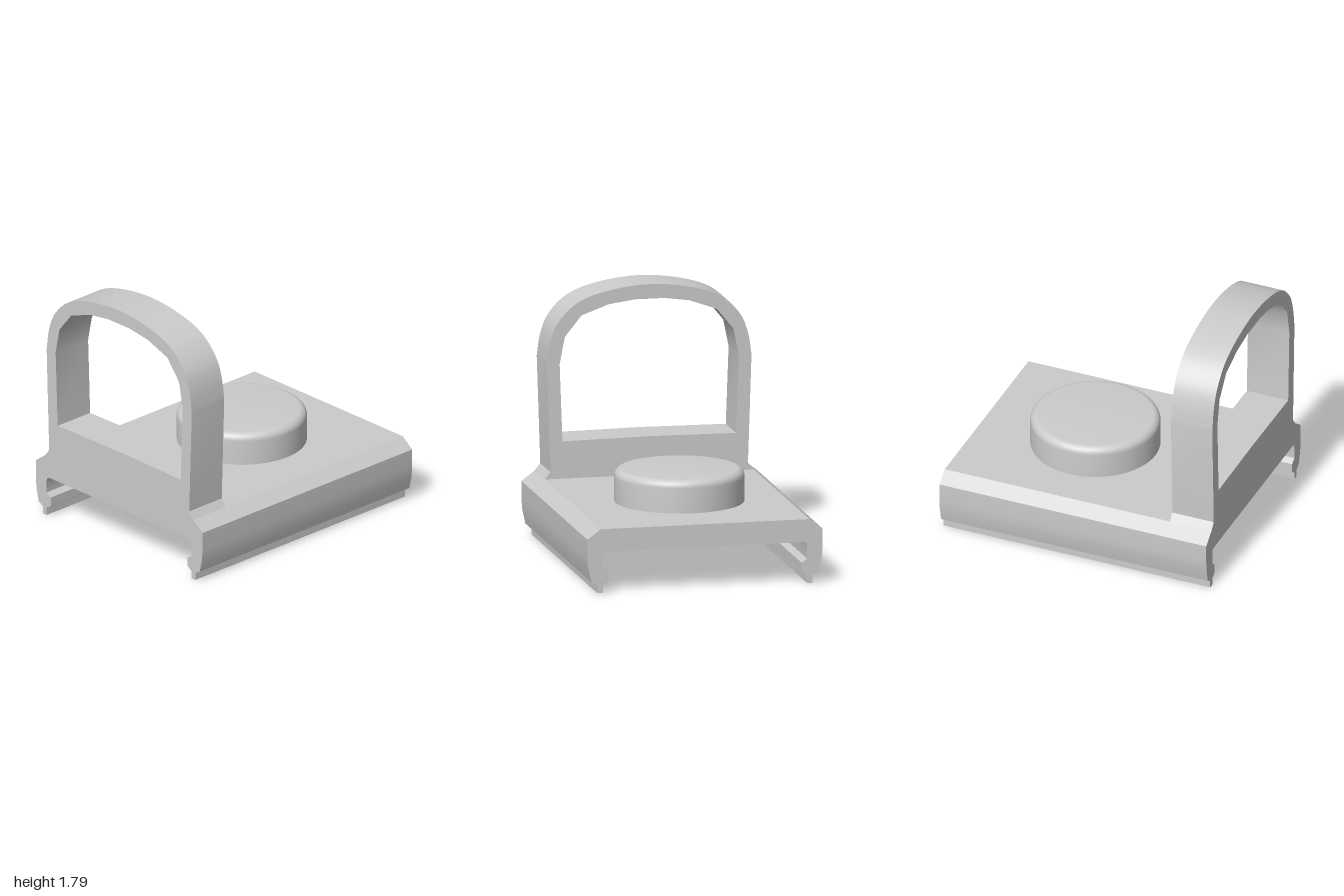
import * as THREE from 'three';
import { toCreasedNormals } from 'three/addons/utils/BufferGeometryUtils.js';

const material = new THREE.MeshStandardMaterial({ color: 0xcccccc });

// Completes a half outline of [z, y] points by mirroring it across z = 0.
function mirrored(half) {
  const other = half.filter(([z]) => z > 0).map(([z, y]) => [-z, y]).reverse();
  return [...half, ...other].map(([z, y]) => new THREE.Vector2(z, y));
}

// Extrudes a z-y section along x, from x0 to x1.
function extrudeAlongX(name, shape, x0, x1) {
  const geometry = new THREE.ExtrudeGeometry(shape, { depth: x1 - x0, bevelEnabled: false });
  geometry.rotateY(Math.PI / 2).translate(x0, 0, 0);
  const mesh = new THREE.Mesh(toCreasedNormals(geometry, 0.5), material);
  mesh.name = name;
  return mesh;
}

export function createModel() {
  const model = new THREE.Group();
  model.name = 'clipOnMount';

  // Channel-shaped base plate with snap-in lips along both long edges
  const base = new THREE.Shape(mirrored([
    [0.74, 0.45], [0.833, 0.38], [0.833, 0.25], [0.827, 0.175], [0.805, 0.078],
    [0.762, 0.053], [0.762, 0], [0.724, 0], [0.724, 0.053],
    [0.684, 0.08], [0.684, 0.145], [0.724, 0.171],
    [0.724, 0.262], [0.717, 0.281], [0.695, 0.29],
  ]));
  model.add(extrudeAlongX('basePlate', base, -1, 1));

  // Upright hoop at one end: straight legs, curved top, flared foot
  const crown = new THREE.SplineCurve([
    [0.725, 1.26], [0.70, 1.42], [0.64, 1.56], [0.50, 1.69], [0.28, 1.763], [0, 1.793],
    [-0.28, 1.763], [-0.50, 1.69], [-0.64, 1.56], [-0.70, 1.42], [-0.725, 1.26],
  ].map(([z, y]) => new THREE.Vector2(z, y)));
  const hoop = new THREE.Shape([
    new THREE.Vector2(-0.74, 0.45), new THREE.Vector2(-0.70, 0.5),
    ...crown.getPoints(40).reverse(),
    new THREE.Vector2(0.70, 0.5), new THREE.Vector2(0.74, 0.45),
  ]);
  hoop.holes.push(new THREE.Path(mirrored([
    [0, 0.72], [0.615, 0.713], [0.635, 1.26], [0.597, 1.45],
    [0.48, 1.595], [0.285, 1.665], [0.105, 1.69],
  ])));
  model.add(extrudeAlongX('hoop', hoop, -1, -0.69));

  // Round button with a filleted top edge
  const radius = 0.45, top = 0.68, fillet = 0.055;
  const profile = [new THREE.Vector2(radius, 0.44)];
  for (let i = 0; i <= 8; i++) {
    const a = (i / 8) * Math.PI / 2;
    profile.push(new THREE.Vector2(
      radius - fillet + fillet * Math.cos(a), top - fillet + fillet * Math.sin(a)));
  }
  profile.push(new THREE.Vector2(0, top));
  const button = new THREE.Mesh(
    toCreasedNormals(new THREE.LatheGeometry(profile, 64), 0.5), material);
  button.name = 'button';
  button.position.set(0.18, 0, -0.01);
  model.add(button);

  return model;
}
